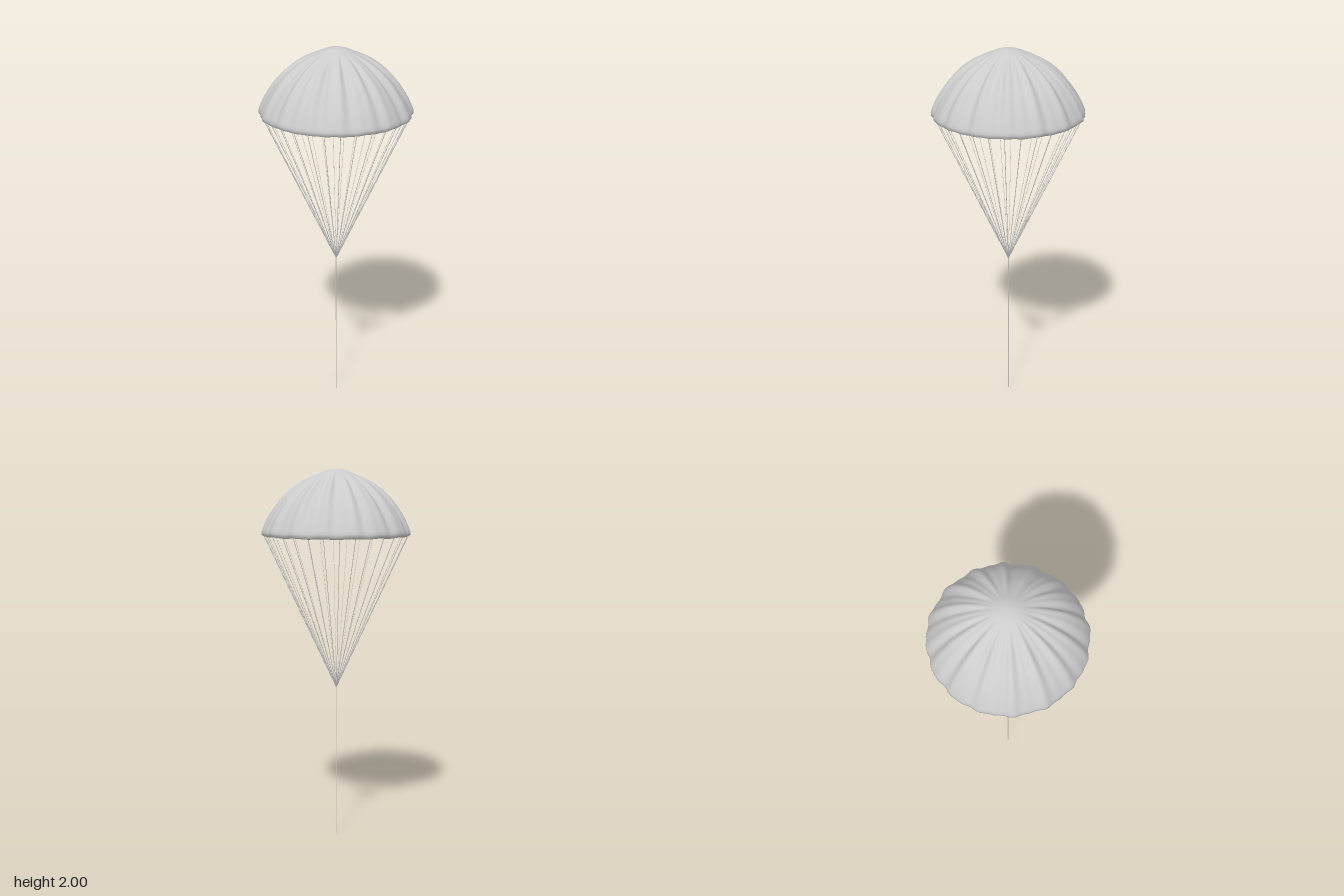
import * as THREE from 'three';

const LINES = 30, LOBES = 16;
const APEX = new THREE.Vector3(0, 0.832, 0);

// Canopy profile from crown to the rim, which rolls slightly inward
const profile = new THREE.CatmullRomCurve3([
  [0, 2.0], [0.04, 1.996], [0.1, 1.973], [0.19, 1.925], [0.28, 1.851],
  [0.352, 1.756], [0.384, 1.695], [0.394, 1.668], [0.391, 1.652], [0.381, 1.649],
].map(([r, y]) => new THREE.Vector3(r, y, 0)));

// Point on the pleated canopy: t runs crown to rim, a is the angle around y
function canopyPoint(t, a) {
  const p = profile.getPointAt(t);
  const fold = THREE.MathUtils.smoothstep(t, 0.1, 0.5)
    * (1 - 0.35 * THREE.MathUtils.smoothstep(t, 0.75, 1));
  const wave = 0.006 * Math.cos(LOBES * a)
    + 0.0035 * Math.cos(30 * a + 0.8)
    + 0.002 * Math.sin(11 * a + 1.5 * t);
  const r = p.x + fold * wave;
  const y = p.y + fold * wave * (1 - t) + 0.002 * t ** 6 * Math.cos(LOBES * a);
  return new THREE.Vector3(r * Math.cos(a), y, r * Math.sin(a));
}

// Point on the smooth, shallower lining that meets the canopy at the rim
function liningPoint(t, a) {
  const rim = canopyPoint(1, a);
  return new THREE.Vector3(rim.x * t, rim.y + 0.2 * (1 - t * t), rim.z * t);
}

// Smooth surface of revolution-like points, closed around y
function makeDome(pointAt, down, material, name) {
  const around = 192;
  const geometry = new THREE.PlaneGeometry(1, 1, around, down);
  const pos = geometry.attributes.position;
  for (let j = 0, k = 0; j <= down; j++) {
    for (let i = 0; i <= around; i++, k++) {
      const p = pointAt(j / down, -(i % around) / around * Math.PI * 2);
      pos.setXYZ(k, p.x, p.y, p.z);
    }
  }
  geometry.computeVertexNormals();
  // Share normals across the seam and point the crown straight up
  const nor = geometry.attributes.normal;
  for (let j = 0; j <= down; j++) {
    const a = j * (around + 1), b = a + around;
    const n = new THREE.Vector3().fromBufferAttribute(nor, a)
      .add(new THREE.Vector3().fromBufferAttribute(nor, b)).normalize();
    nor.setXYZ(a, n.x, n.y, n.z);
    nor.setXYZ(b, n.x, n.y, n.z);
  }
  for (let i = 0; i <= around; i++) nor.setXYZ(i, 0, 1, 0);
  const mesh = new THREE.Mesh(geometry, material);
  mesh.name = name;
  return mesh;
}

export function createModel() {
  const model = new THREE.Group();
  model.name = 'parachute';
  const grey = new THREE.MeshStandardMaterial({ color: 0xcccccc });
  const cloth = new THREE.MeshStandardMaterial({ color: 0xcccccc, side: THREE.DoubleSide });

  // Pleated dome and its lining
  model.add(makeDome(canopyPoint, 36, cloth, 'canopy'));
  model.add(makeDome(liningPoint, 16, cloth, 'lining'));

  // Suspension lines from the rim to the gathering point
  const lines = new THREE.Group();
  lines.name = 'suspensionLines';
  for (let i = 0; i < LINES; i++) {
    const rim = canopyPoint(1, i / LINES * Math.PI * 2);
    const path = new THREE.LineCurve3(rim, APEX);
    const line = new THREE.Mesh(new THREE.TubeGeometry(path, 1, 0.0015, 6), grey);
    line.name = 'suspensionLine';
    lines.add(line);
  }
  model.add(lines);

  // Single square tether down to the ground
  const tether = new THREE.Mesh(new THREE.BoxGeometry(0.0032, APEX.y, 0.0032), grey);
  tether.position.y = APEX.y / 2;
  tether.name = 'tether';
  model.add(tether);

  return model;
}
